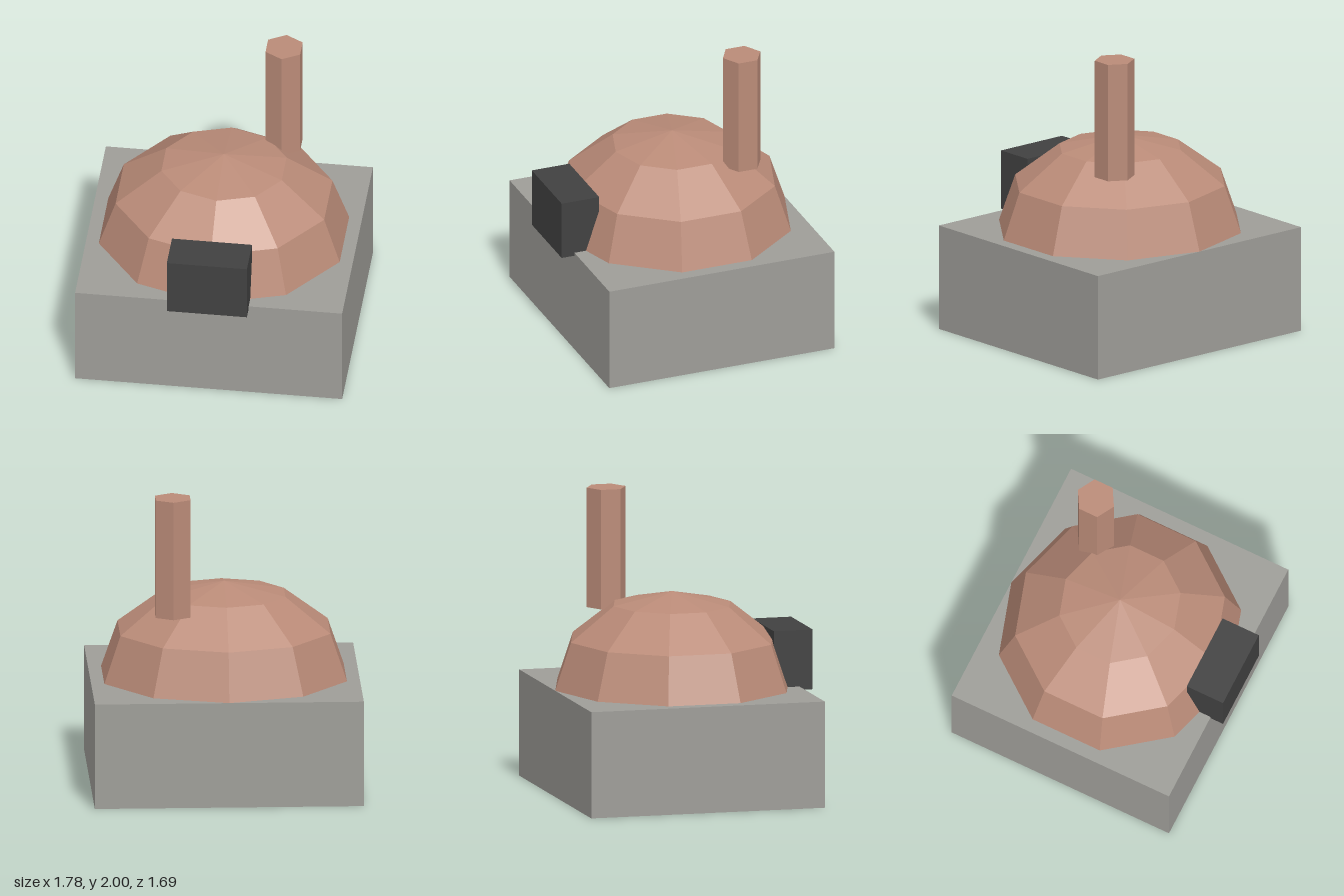
import * as THREE from 'three';

const flat = (name, color) => {
  const m = new THREE.MeshStandardMaterial({ color, flatShading: true });
  m.name = name;
  return m;
};

export function createModel() {
  const stone = flat('stone grey', 0x9e9d98);
  const clay = flat('clay brown', 0xba8b78);
  const soot = flat('soot black', 0x414141);

  const group = new THREE.Group();
  group.name = 'domedOven';

  const add = (name, geometry, material, x, y, z) => {
    const mesh = new THREE.Mesh(geometry, material);
    mesh.name = name;
    mesh.position.set(x, y, z);
    group.add(mesh);
    return mesh;
  };

  // Square plinth
  add('base', new THREE.BoxGeometry(1.778, 0.711, 1.6), stone, 0, 0.3555, -0.045);

  // Ten-sided faceted half dome, a corner pointing to the back
  const half = new THREE.SphereGeometry(1, 10, 3, Math.PI / 2, Math.PI * 2, 0, Math.PI / 2);
  half.scale(0.843, 0.633, 0.8);
  add('dome', half, clay, 0, 0.711, -0.045);

  // Mouth block at the front
  add('mouth', new THREE.BoxGeometry(0.533, 0.4, 0.267), soot, 0, 0.889, 0.712);

  // Hexagonal flue
  add('chimney', new THREE.CylinderGeometry(0.133, 0.133, 0.8, 6), clay, 0.355, 1.6, -0.398);

  return group;
}
